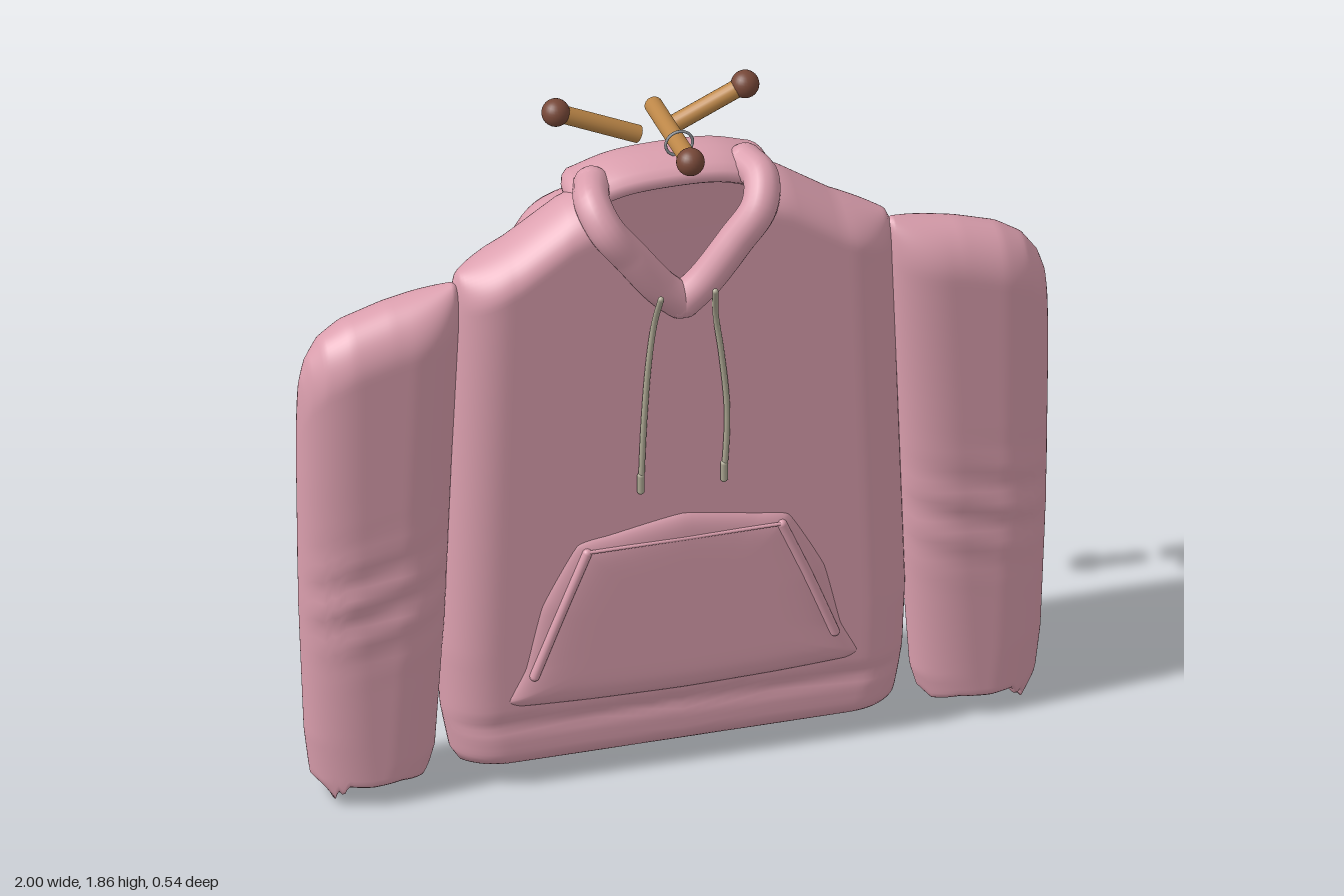
import * as THREE from 'three';
import { mergeVertices } from 'three/addons/utils/BufferGeometryUtils.js';

const material = (name, color, side = THREE.FrontSide) => {
  const m = new THREE.MeshStandardMaterial({ color, side });
  m.name = name;
  return m;
};
const V = (p) => new THREE.Vector3(...p);

// Piecewise linear lookup in [position, value] pairs
const lookup = (pairs) => (p) => {
  if (p <= pairs[0][0]) return pairs[0][1];
  for (let i = 1; i < pairs.length; i++) {
    const [a, va] = pairs[i - 1], [b, vb] = pairs[i];
    if (p <= b) return va + (vb - va) * (p - a) / (b - a);
  }
  return pairs[pairs.length - 1][1];
};

// Quarter-round edge: 0 at the rim, 1 once d reaches r
const round = (d, r) => {
  const k = 1 - Math.min(1, Math.max(0, d / r));
  return Math.sqrt(1 - k * k);
};
const bump = (y, c, w) => Math.exp(-(((y - c) / w) ** 2));

function indexed(pos, idx) {
  let g = new THREE.BufferGeometry();
  g.setAttribute('position', new THREE.Float32BufferAttribute(pos, 3));
  g.setIndex(idx);
  g = mergeVertices(g, 1e-4);
  g.computeVertexNormals();
  return g;
}

// Rows of equal length joined into a surface, each row closed on itself
function loftRows(rows) {
  const n = rows[0].length, idx = [];
  for (let i = 0; i < rows.length - 1; i++) {
    for (let j = 0; j < n; j++) {
      const a = i * n + j, b = i * n + (j + 1) % n;
      idx.push(a, b, b + n, a, b + n, a + n);
    }
  }
  return indexed(rows.flat(2), idx);
}

// Flat garment piece: front and back sheets meeting at the rounded sides.
// place(u, t, isFront) gives a point; u runs across, t from bottom to top.
function garment(place, N = 56, M = 72) {
  const rows = [];
  for (let i = 0; i <= M; i++) {
    const t = (1 - Math.cos(Math.PI * i / M)) / 2, row = [];
    for (let j = 0; j < 2 * N; j++) {
      const front = j < N;
      const s = (front ? j : 2 * N - j) / N * 2 - 1;
      row.push(place(Math.sin(s * Math.PI / 2), t, front));
    }
    rows.push(row);
  }
  return loftRows(rows);
}

// Padded panel from a half outline (x >= 0, bottom to top), bulging along dir
function pillow(half, centreY, baseZ, depth, dir, power, tension) {
  const mirrored = half.filter((p) => p[0] > 0).reverse().map(([x, y]) => [-x, y]);
  const curve = new THREE.CatmullRomCurve3([...half, ...mirrored].map(([x, y]) => V([x, y, 0])), true, 'catmullrom', tension);
  const outline = curve.getPoints(96).slice(0, -1);
  if (dir < 0) outline.reverse();
  const rows = [];
  for (let k = 0; k <= 20; k++) {
    const s = 1 - (k / 20) ** 2;
    const z = baseZ + dir * depth * Math.sqrt(1 - s ** power);
    rows.push(outline.map((p) => [p.x * s, centreY + (p.y - centreY) * s, z]));
  }
  return loftRows(rows);
}

export function createModel() {
  const model = new THREE.Group();
  model.name = 'hoodedSweatshirt';
  const pink = material('pink fabric', 0xdb9fae, THREE.DoubleSide);
  const cord = material('cord', 0xaea994);
  const wood = material('light wood', 0xbd8748);
  const brown = material('dark wood', 0x774838);
  const metal = material('metal', 0x92969a);

  const add = (name, geometry, mat, parent = model) => {
    const mesh = new THREE.Mesh(geometry, mat);
    mesh.name = name;
    parent.add(mesh);
    return mesh;
  };
  // Round-ended tube through points
  const roll = (name, pts, r, mat, seg = 40) => {
    const g = new THREE.Group();
    g.name = name;
    const curve = new THREE.CatmullRomCurve3(pts.map(V));
    add(name + 'Tube', new THREE.TubeGeometry(curve, seg, r, 16), mat, g);
    for (const p of [pts[0], pts[pts.length - 1]]) {
      add(name + 'End', new THREE.SphereGeometry(r, 16, 12), mat, g).position.set(...p);
    }
    model.add(g);
    return g;
  };

  // Body with sloping shoulders and a V neck cut into the front sheet
  const halfWidth = lookup([[0.03, 0.56], [0.08, 0.59], [0.2, 0.612], [0.4, 0.62], [0.7, 0.61], [1.45, 0.585]]);
  const shoulder = lookup([[0, 1.73], [0.24, 1.73], [0.29, 1.71], [0.43, 1.61], [0.57, 1.535], [0.585, 1.5]]);
  const backZ = lookup([[0.03, -0.065], [0.2, -0.065], [0.5, -0.055], [1.1, -0.05], [1.5, -0.02], [1.75, 0]]);
  add('body', garment((u, t, front) => {
    const ax = Math.abs(u) * 0.585, top = shoulder(ax);
    const rim = front && ax < 0.21 ? Math.min(top, 1.4 + 1.55 * ax) : top;
    const y = 0.035 + t * (rim - 0.035);
    const w = halfWidth(y), x = u * w;
    const f = round(w * (1 - Math.abs(u)), 0.13) * round(y - 0.035, 0.07) * round(top - y, 0.09)
      * (1 - 0.07 * bump(y, 0.19, 0.02));
    const fold = front ? 0 : 0.006 * Math.sin(x * 22) * bump(y, 0.15, 0.5);
    return [x, y, 0.085 + f * ((front ? 0.205 : backZ(y)) - 0.085 + fold)];
  }, 72, 80), pink);

  // Sleeves, creased around the elbow and ragged at the cuff
  const inner = lookup([[0.03, 0.66], [0.12, 0.635], [0.5, 0.61], [1.0, 0.59], [1.51, 0.565]]);
  const outer = lookup([[0.02, 0.95], [0.07, 0.965], [0.2, 0.98], [0.6, 0.995], [1.0, 1.0]]);
  const cap = lookup([[-1, 1.5], [-0.9, 1.513], [-0.1, 1.475], [0.4, 1.44], [0.7, 1.4], [0.88, 1.345], [0.96, 1.29], [1, 1.22]]);
  const cuff = lookup([[-1, 0.06], [-0.85, 0.03], [-0.4, 0.045], [0.1, 0.04], [0.5, 0.045], [0.6, 0.015], [0.68, 0.03], [0.74, 0], [0.85, 0.035], [1, 0.07]]);
  for (const side of [1, -1]) {
    add(side > 0 ? 'leftSleeve' : 'rightSleeve', garment((q, t, front) => {
      const u = q * side, low = cuff(u), top = cap(u);
      const y = low + t * (top - low);
      const a = inner(y), b = outer(y);
      const f = round((b - a) / 2 * (1 - Math.abs(u)), 0.15) * round(y - low, 0.03) * round(top - y, 0.13);
      const crease = 0.007 * Math.sin((y + 0.06 * u) * 50) * bump(y, 0.63, 0.13);
      const x = (a + b) / 2 + u * (b - a) / 2;
      return [side * x, y, 0.095 + (front ? 1 : -1) * f * (0.105 + crease)];
    }), pink);
  }

  // Hood lying down the back
  add('hood', pillow([[0, 0.84], [0.15, 0.865], [0.27, 0.94], [0.36, 1.09], [0.41, 1.27], [0.43, 1.44],
    [0.4, 1.57], [0.29, 1.665], [0, 1.7]], 1.3, 0.03, 0.155, -1, 7, 0.5), pink);

  // Rolled hood edge around the neck
  for (const side of [1, -1]) {
    roll(side > 0 ? 'leftCollar' : 'rightCollar', [[0.005, 1.42, 0.19], [0.06, 1.475, 0.195], [0.14, 1.585, 0.2],
      [0.205, 1.675, 0.195], [0.225, 1.725, 0.14], [0.205, 1.73, 0.06]].map(([x, y, z]) => [x * side, y, z]), 0.048, pink);
  }
  const neckRoll = roll('neckRoll', [[-0.23, 1.7, 0], [-0.13, 1.73, 0], [0, 1.738, 0], [0.13, 1.73, 0], [0.23, 1.7, 0]], 0.043, pink);
  neckRoll.scale.z = 2.1;
  neckRoll.position.z = 0.03;

  // Front pocket with slanted welts and a top seam
  add('pocket', pillow([[0, 0.23], [0.25, 0.235], [0.44, 0.245], [0.475, 0.265], [0.43, 0.36], [0.385, 0.55],
    [0.29, 0.725], [0.2, 0.745], [0, 0.78]], 0.45, 0.185, 0.042, 1, 10, 0.2), pink);
  for (const side of [1, -1]) {
    roll('pocketWelt', [[0.26 * side, 0.7, 0.218], [0.33 * side, 0.53, 0.221], [0.4 * side, 0.345, 0.218]], 0.013, pink);
  }
  roll('pocketSeam', [[-0.26, 0.705, 0.223], [0, 0.705, 0.224], [0.26, 0.705, 0.223]], 0.005, pink);

  // Drawstrings with thicker tips
  for (const [name, xs] of [['leftDrawstring', [0.07, 0.082, 0.1, 0.115, 0.107]], ['rightDrawstring', [-0.075, -0.082, -0.095, -0.107, -0.115]]]) {
    const ys = [1.48, 1.38, 1.25, 1.07, 0.865], zs = [0.262, 0.222, 0.213, 0.212, 0.212];
    roll(name, xs.map((x, i) => [x, ys[i], zs[i]]), 0.008, cord);
    roll(name + 'Tip', [[xs[4], 0.865, 0.212], [xs[4], 0.91, 0.212]], 0.01, cord, 4);
  }

  // Wooden pegs, each with a dark knob at one end
  const up = new THREE.Vector3(0, 1, 0);
  for (const [name, knob, end] of [
    ['frontPeg', [0.03, 1.825, 0.165], [0.03, 1.77, -0.195]],
    ['leftPeg', [0.285, 1.765, -0.235], [0.065, 1.66, -0.235]],
    ['rightPeg', [-0.22, 1.765, -0.235], [0, 1.66, -0.235]],
  ]) {
    const a = V(knob), b = V(end), dir = a.clone().sub(b);
    const rod = add(name, new THREE.CylinderGeometry(0.024, 0.024, dir.length(), 20), wood);
    rod.position.copy(a).add(b).multiplyScalar(0.5);
    rod.quaternion.setFromUnitVectors(up, dir.normalize());
    add(name + 'Knob', new THREE.SphereGeometry(0.037, 24, 16), brown).position.copy(a);
  }
  add('pegRing', new THREE.TorusGeometry(0.036, 0.004, 8, 32), metal).position.set(0.03, 1.812, 0.055);

  return model;
}
